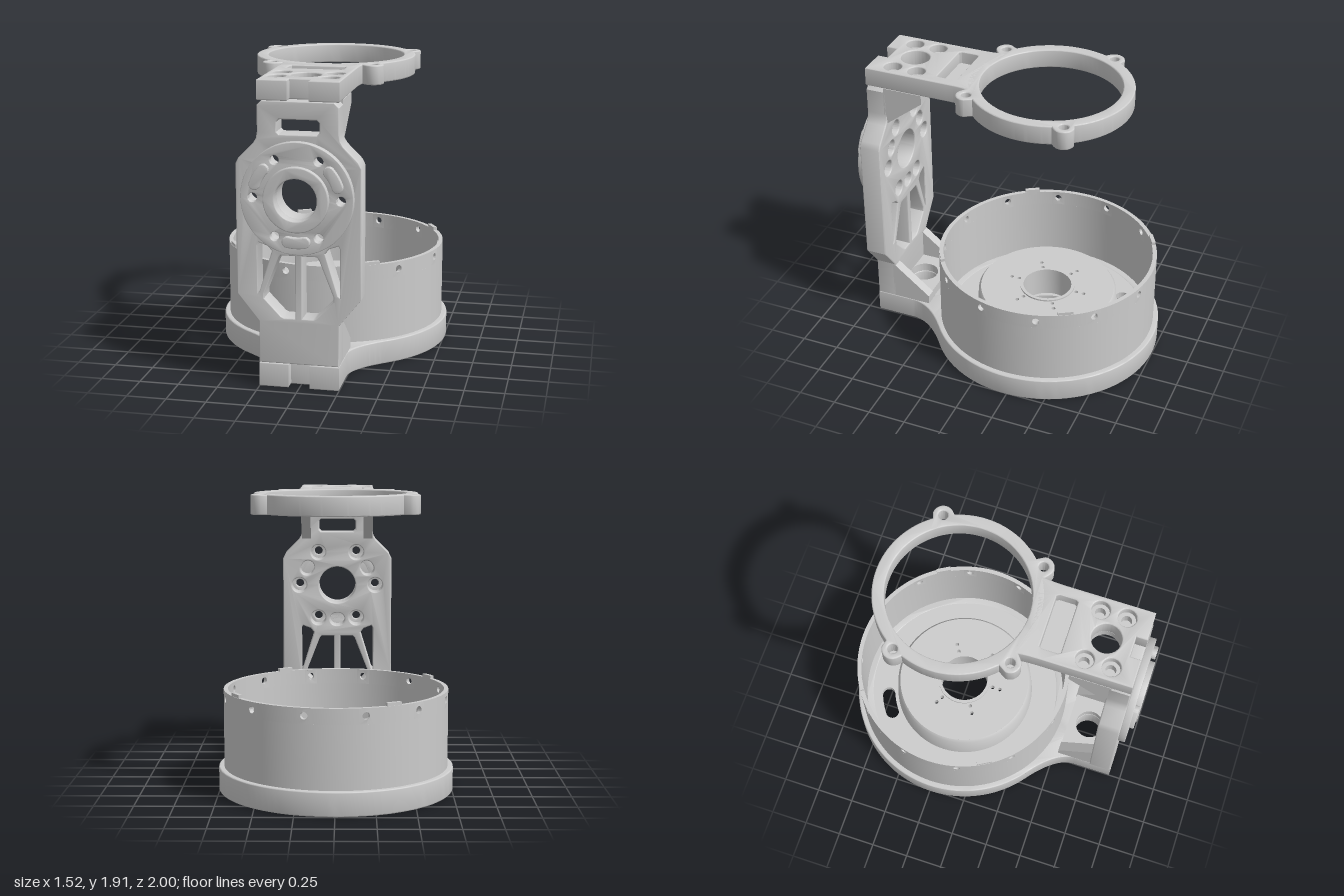
import * as THREE from 'three';
import { toCreasedNormals } from 'three/addons/utils/BufferGeometryUtils.js';

const MAT = new THREE.MeshStandardMaterial({ color: 0xcccccc });
const CUP_Z = -0.24, HUB_Y = 1.21, BOLTS = [[-0.165, 0.6], [0.165, 0.6], [-0.165, 0.765], [0.165, 0.765]];

function add(parent, name, geo) {
  const mesh = new THREE.Mesh(toCreasedNormals(geo, 0.6), MAT);
  mesh.name = name;
  parent.add(mesh);
  return mesh;
}
const poly = (pts) => new THREE.Shape(pts.map(([x, y]) => new THREE.Vector2(x, y)));
function disc(x, y, r) {
  const s = new THREE.Shape();
  s.absarc(x, y, r, 0, Math.PI * 2, false);
  return s;
}
// Curved slot with round ends, centred on angle a
function arcSlot(cx, cy, r0, r1, a, half) {
  const s = new THREE.Shape(), m = (r0 + r1) / 2, c = (r1 - r0) / 2, e = a + half, b = a - half;
  s.absarc(cx, cy, r1, b, e, false);
  s.absarc(cx + m * Math.cos(e), cy + m * Math.sin(e), c, e, e + Math.PI, false);
  s.absarc(cx, cy, r0, e, b, true);
  s.absarc(cx + m * Math.cos(b), cy + m * Math.sin(b), c, b + Math.PI, b + Math.PI * 2, false);
  return s;
}
function extrude(shape, depth, bevel = 0) {
  const geo = new THREE.ExtrudeGeometry(shape, {
    depth: depth - 2 * bevel, curveSegments: 40, bevelEnabled: bevel > 0,
    bevelSize: bevel, bevelThickness: bevel, bevelOffset: -bevel, bevelSegments: 3,
  });
  return geo.translate(0, 0, bevel);
}
// Horizontal plate: shape coordinates are (x, z)
const flat = (shape, y0, y1, bevel) => extrude(shape, y1 - y0, bevel).rotateX(Math.PI / 2).translate(0, y1, 0);
// Upright ring with a rectangular section, optionally only a sector of it
function ring(r0, r1, y0, y1, x, z, seg = 32, start = 0, sweep = Math.PI * 2) {
  const pts = [[r0, y0], [r1, y0], [r1, y1], [r0, y1], [r0, y0]].map((p) => new THREE.Vector2(...p));
  return new THREE.LatheGeometry(pts, seg, start, sweep).translate(x, 0, z);
}
// Holes shared by both horizontal arms, with sleeves that form the counterbores
function drillArm(shape) {
  BOLTS.forEach(([x, z]) => shape.holes.push(disc(x, z, 0.057)));
  shape.holes.push(disc(0, 0.685, 0.093));
}
function sleeves(parent, y0, y1) {
  BOLTS.forEach(([x, z]) => add(parent, 'boltSeat', ring(0.033, 0.06, y0, y1, x, z)));
}
const notch = [[0.25, 0.92], [0.065, 0.92], [0.065, 0.85], [-0.065, 0.85], [-0.065, 0.92], [-0.25, 0.92]];
const sixth = (k, off = 0) => (k * Math.PI) / 3 + off;

function buildBase() {
  const g = new THREE.Group();
  g.name = 'base';
  // Round rim flowing into the arm
  const s = new THREE.Shape();
  const a = Math.atan2(0.605, 0.46);
  s.absarc(0, CUP_Z, 0.76, Math.PI - a, Math.PI * 2 + a, false);
  s.quadraticCurveTo(0.25, 0.525, 0.25, 0.66);
  notch.forEach(([x, z]) => s.lineTo(x, z));
  s.lineTo(-0.25, 0.66);
  s.quadraticCurveTo(-0.25, 0.525, -0.46, 0.365);
  s.holes.push(disc(0, CUP_Z, 0.65));
  drillArm(s);
  add(g, 'baseRim', flat(s, 0, 0.155, 0.008));
  sleeves(g, 0.05, 0.154);
  // Spoked underside
  const under = disc(0, CUP_Z, 0.67);
  under.holes.push(disc(0, CUP_Z, 0.29));
  for (let k = 0; k < 6; k++) {
    under.holes.push(arcSlot(0, CUP_Z, 0.42, 0.6, sixth(k), 0.24));
    const b = sixth(k, Math.PI / 6);
    under.holes.push(disc(0.52 * Math.cos(b), CUP_Z + 0.52 * Math.sin(b), 0.025));
  }
  add(g, 'spokedUnderside', flat(under, 0.005, 0.05));
  // Cup floor with cable slot
  const floor = disc(0, CUP_Z, 0.67);
  floor.holes.push(disc(0, CUP_Z, 0.45), arcSlot(0, CUP_Z, 0.5, 0.59, sixth(4), 0.13));
  add(g, 'cupFloor', flat(floor, 0.11, 0.154));
  // Raised mount in the middle
  const wall = [[0.43, 0.11], [0.48, 0.11], [0.465, 0.34], [0.45, 0.36], [0.42, 0.35], [0.43, 0.11]];
  add(g, 'mountWall', new THREE.LatheGeometry(wall.map((p) => new THREE.Vector2(...p)), 72).translate(0, 0, CUP_Z));
  const top = disc(0, CUP_Z, 0.45);
  top.holes.push(disc(0, CUP_Z, 0.18));
  for (let k = 0; k < 6; k++) {
    const b = sixth(k, Math.PI / 6);
    for (const r of [0.207, 0.26]) top.holes.push(disc(r * Math.cos(b), CUP_Z + r * Math.sin(b), 0.013));
  }
  add(g, 'mountTop', flat(top, 0.31, 0.36));
  add(g, 'mountCollar', ring(0.162, 0.184, 0.17, 0.37, 0, CUP_Z, 48));
  return g;
}

function buildCup() {
  const g = new THREE.Group();
  g.name = 'cup';
  const R = 0.725, T = 0.028, step = Math.PI / 6, w = 0.045, gap = step - (2 * w) / R;
  add(g, 'cupWall', ring(R - T, R, 0.14, 0.56, 0, 0, 144));
  // Upper band: narrow bent panels with a screw hole, plain wall between them
  for (let k = 0; k < 12; k++) {
    const a0 = (k + 0.5) * step;
    const s = poly([[-w, 0.56], [0, 0.56], [w, 0.56], [w, 0.66], [0, 0.66], [-w, 0.66]]);
    s.holes.push(disc(0, 0.612, 0.023));
    const geo = extrude(s, T), p = geo.attributes.position;
    for (let i = 0; i < p.count; i++) {
      const a = p.getX(i) / R + a0, r = R - T + p.getZ(i);
      p.setXYZ(i, r * Math.sin(a), p.getY(i), r * Math.cos(a));
    }
    add(g, 'cupRimPanel', geo);
    add(g, 'cupRimWall', ring(R - T, R, 0.56, 0.66, 0, 0, 10, a0 + w / R, gap));
  }
  // Four locating tabs on the rim
  for (let k = 0; k < 4; k++) {
    const tab = new THREE.BoxGeometry(0.1, 0.04, T * 0.9).translate(0, 0.66, R - T / 2 - 0.002);
    add(g, 'rimTab', tab.rotateY(Math.PI / 6 + (k * Math.PI) / 2));
  }
  g.position.z = CUP_Z;
  return g;
}

function buildColumn() {
  const g = new THREE.Group();
  g.name = 'column';
  const half = [[0.25, 0.155], [0.25, 0.42], [0.385, 0.59], [0.385, 1.4], [0.365, 1.44], [0.275, 1.53], [0.257, 1.56], [0.25, 1.6], [0.25, 1.76], [0.22, 1.79]];
  const mirror = (pts) => pts.map(([x, y]) => [-x, y]).reverse();
  const s = poly([...half, ...mirror(half)]);
  const slot = [[0.115, 1.59], [0.13, 1.605], [0.13, 1.665], [0.115, 1.68]];
  s.holes.push(poly([...slot, ...mirror(slot)]), disc(0, HUB_Y, 0.13));
  // Truss windows
  const inner = [[0.022, 0.45], [0.09, 0.45], [0.11, 0.46], [0.215, 0.57], [0.215, 0.6], [0.125, 0.83], [0.11, 0.845], [0.022, 0.845]];
  const outer = [[0.255, 0.6], [0.255, 0.9], [0.245, 0.92], [0.19, 0.9], [0.165, 0.87], [0.245, 0.61]];
  for (const w of [inner, outer]) s.holes.push(poly(w), poly(mirror(w)));
  // Nut recesses and lightening pockets behind the flange
  for (let k = 0; k < 6; k++) s.holes.push(disc(0.27 * Math.cos(sixth(k)), HUB_Y + 0.27 * Math.sin(sixth(k)), 0.052));
  for (let k = 0; k < 3; k++) s.holes.push(arcSlot(0, HUB_Y, 0.2, 0.29, sixth(2 * k, Math.PI / 6), 0.03));
  add(g, 'columnPlate', extrude(s, 0.14, 0.008).translate(0, 0, 0.78));
  // Gussets and feet at both ends
  const ends = [{ y: 0.155, d: 1, tip: 0.255 }, { y: 1.79, d: -1, tip: 0.25 }];
  for (const { y, d, tip } of ends) {
    const tri = poly([[0.8, y], [0.535, y], [0.535, y + d * 0.06], [0.78, y + d * tip], [0.8, y + d * tip]]);
    for (const x of [0.25, -0.185]) add(g, 'gusset', extrude(tri, 0.065).rotateY(-Math.PI / 2).translate(x, 0, 0));
    const foot = poly([[-0.2, 0.54], [0.2, 0.54], [0.2, 0.8], [-0.2, 0.8]]);
    foot.holes.push(disc(0, 0.685, 0.095));
    add(g, 'foot', flat(foot, Math.min(y, y + d * 0.06), Math.max(y, y + d * 0.06)));
  }
  return g;
}

function buildFlange() {
  const g = new THREE.Group();
  g.name = 'flange';
  const plate = disc(0, 0, 0.345);
  plate.holes.push(disc(0, 0, 0.13));
  for (let k = 0; k < 6; k++) plate.holes.push(disc(0.27 * Math.cos(sixth(k)), 0.27 * Math.sin(sixth(k)), 0.028));
  add(g, 'flangePlate', extrude(plate, 0.047, 0.004));
  const hub = disc(0, 0, 0.2);
  hub.holes.push(disc(0, 0, 0.13));
  add(g, 'flangeHub', extrude(hub, 0.082, 0.006));
  for (let k = 0; k < 3; k++) {
    add(g, 'flangePad', extrude(arcSlot(0, 0, 0.232, 0.3, sixth(2 * k, Math.PI / 6), 0.2), 0.075, 0.006));
  }
  g.position.set(0, HUB_Y, 0.918);
  return g;
}

function buildHolder() {
  const g = new THREE.Group();
  g.name = 'ringHolder';
  const C = -0.245, lugs = [[0.46, -0.5], [-0.46, -0.5], [0.325, 0.19], [-0.325, 0.19]], L = 0.066;
  // Ring outline swelling round each screw lug
  const pts = [];
  for (let i = 0; i < 288; i++) {
    const a = (i / 288) * Math.PI * 2, cx = Math.cos(a), cz = Math.sin(a);
    let r = 0.522;
    for (const [x, z] of lugs) {
      const along = x * cx + (z - C) * cz, off = x * cz - (z - C) * cx;
      if (along > 0 && Math.abs(off) < L) r = Math.max(r, along + Math.sqrt(L * L - off * off));
    }
    pts.push([r * cx, C + r * cz]);
  }
  const s = poly(pts);
  s.holes.push(disc(0, C, 0.447));
  lugs.forEach(([x, z]) => s.holes.push(disc(x, z, 0.03)));
  add(g, 'clampRing', flat(s, 1.79, 1.915, 0.008));
  // Arm from the ring to the column
  const arm = new THREE.Shape(), a = Math.atan2(0.375, 0.27);
  arm.absarc(0, C, 0.475, Math.PI - a, a, true);
  arm.quadraticCurveTo(0.25, 0.22, 0.25, 0.36);
  notch.forEach(([x, z]) => arm.lineTo(x, z));
  arm.lineTo(-0.25, 0.36);
  arm.quadraticCurveTo(-0.25, 0.22, -0.27, 0.13);
  drillArm(arm);
  arm.holes.push(poly([[-0.17, 0.32], [0.17, 0.32], [0.18, 0.34], [0.18, 0.44], [0.17, 0.455], [-0.17, 0.455], [-0.18, 0.44], [-0.18, 0.34]]));
  add(g, 'holderArm', flat(arm, 1.79, 1.915, 0.008));
  add(g, 'pocketFloor', new THREE.BoxGeometry(0.4, 0.04, 0.17).translate(0, 1.812, 0.387));
  sleeves(g, 1.791, 1.86);
  return g;
}

export function createModel() {
  const model = new THREE.Group();
  model.name = 'ringStand';
  model.add(buildBase(), buildCup(), buildColumn(), buildFlange(), buildHolder());
  return model;
}
